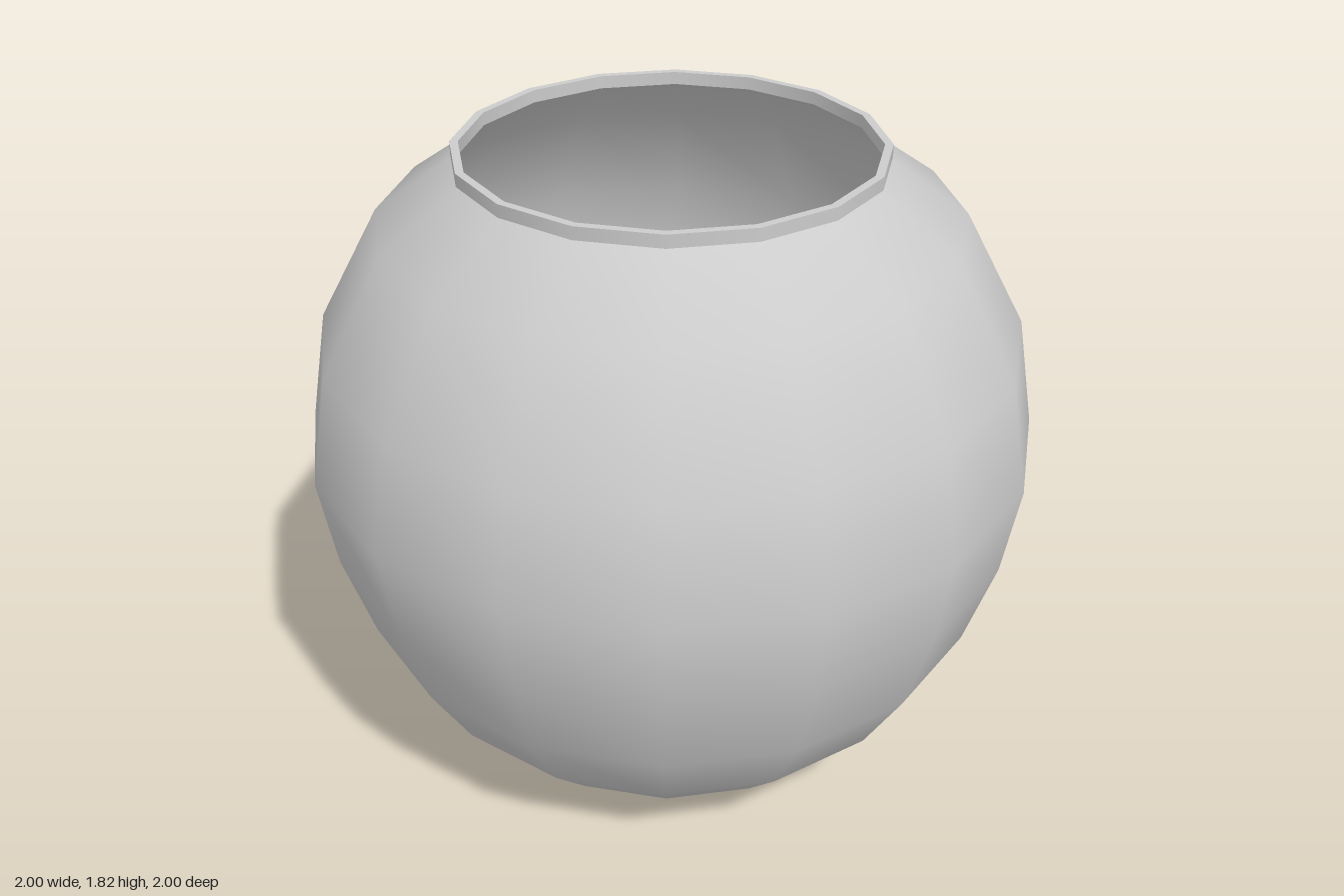
import * as THREE from 'three';
import { mergeGeometries } from 'three/addons/utils/BufferGeometryUtils.js';

const SIDES = 16;

export function createModel() {
  const model = new THREE.Group();
  const material = new THREE.MeshStandardMaterial({ color: 0xcccccc });

  const lathe = (points) =>
    new THREE.LatheGeometry(points.map(([r, y]) => new THREE.Vector2(r, y)), SIDES);

  // Each profile is smooth; the joins between profiles stay sharp.
  function addPart(name, ...profiles) {
    const mesh = new THREE.Mesh(mergeGeometries(profiles.map(lathe)), material);
    mesh.name = name;
    model.add(mesh);
  }

  // Round bowl: outer wall from bottom to top
  const outer = [
    [0.43, 0.035], [0.6, 0.13], [0.76, 0.295], [0.88, 0.5], [0.96, 0.755],
    [1, 1.01], [0.945, 1.315], [0.775, 1.625], [0.555, 1.78],
  ];
  addPart('bowlOuterWall', outer);

  // Inner wall: the outer profile drawn in towards the middle, closed by a floor
  const inner = outer.map(([r, y]) => [r * 0.98, 1 + (y - 1) * 0.98]).reverse();
  inner[0] = [0.545, 1.78];
  addPart('bowlInnerWall', [...inner, [0, 0.04]]);

  // Rim: a thin square-edged ring round the mouth
  const rim = [[0.545, 1.78], [0.567, 1.78], [0.567, 1.815], [0.545, 1.815], [0.545, 1.78]];
  addPart('rim', ...rim.slice(1).map((p, i) => [rim[i], p]));

  // Foot: a thin disc under the bowl
  const foot = [[0, 0], [0.44, 0], [0.44, 0.035], [0, 0.035]];
  addPart('foot', ...foot.slice(1).map((p, i) => [foot[i], p]));

  return model;
}
